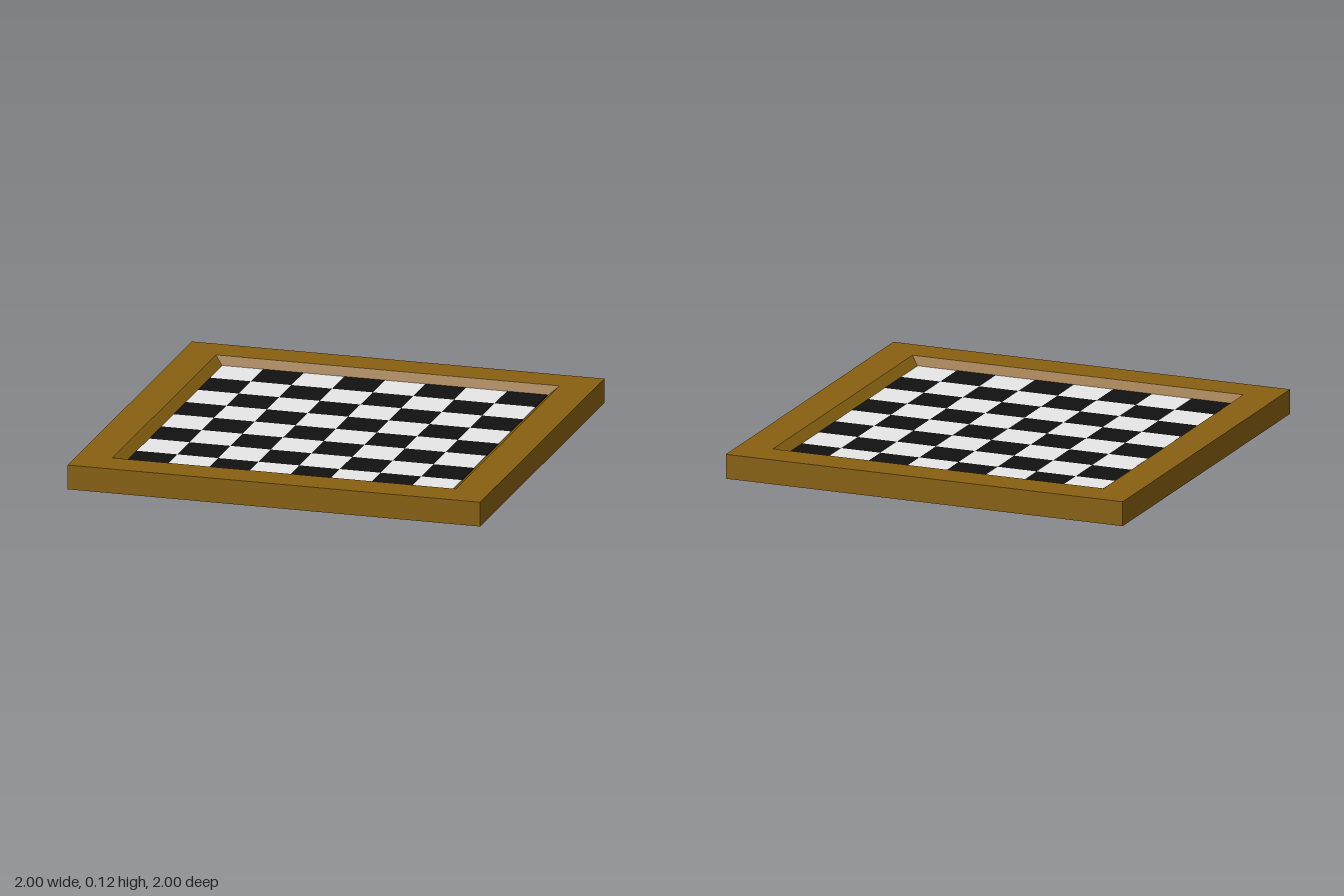
import * as THREE from 'three';

const HEIGHT = 0.118, FLOOR = 0.08, RIM = 0.833, FIELD = 0.788, TILE_THICKNESS = 0.004;

function material(name, color) {
  const m = new THREE.MeshStandardMaterial({ color });
  m.name = name;
  return m;
}

export function createModel() {
  const model = new THREE.Group();
  model.name = 'checkeredBoard';

  const wood = material('brown wood', 0x876010);
  wood.flatShading = true;
  const light = material('white', 0xfcfcfc);
  const dark = material('black', 0x111111);

  // Square tray: a four-sided lathe with a sloped inner edge and closed base
  const profile = [
    [0, 0], [1, 0], [1, HEIGHT], [RIM, HEIGHT], [FIELD, FLOOR], [0, FLOOR],
  ].map(([half, y]) => new THREE.Vector2(half * Math.SQRT2, y));
  const trayGeometry = new THREE.LatheGeometry(profile, 4, Math.PI / 4).toNonIndexed();
  trayGeometry.computeVertexNormals();
  const tray = new THREE.Mesh(trayGeometry, wood);
  tray.name = 'frame';
  model.add(tray);

  // Eight by eight playing field of thin tiles, light in the back right corner
  const field = new THREE.Group();
  field.name = 'playingField';
  const size = FIELD * 2 / 8;
  const tileGeometry = new THREE.BoxGeometry(size, TILE_THICKNESS, size);
  for (let row = 0; row < 8; row++) {
    for (let col = 0; col < 8; col++) {
      const isLight = (row + col) % 2 === 0;
      const tile = new THREE.Mesh(tileGeometry, isLight ? light : dark);
      tile.name = isLight ? 'lightSquare' : 'darkSquare';
      tile.position.set((col - 3.5) * size, FLOOR + TILE_THICKNESS / 2, (row - 3.5) * size);
      field.add(tile);
    }
  }
  model.add(field);

  return model;
}
